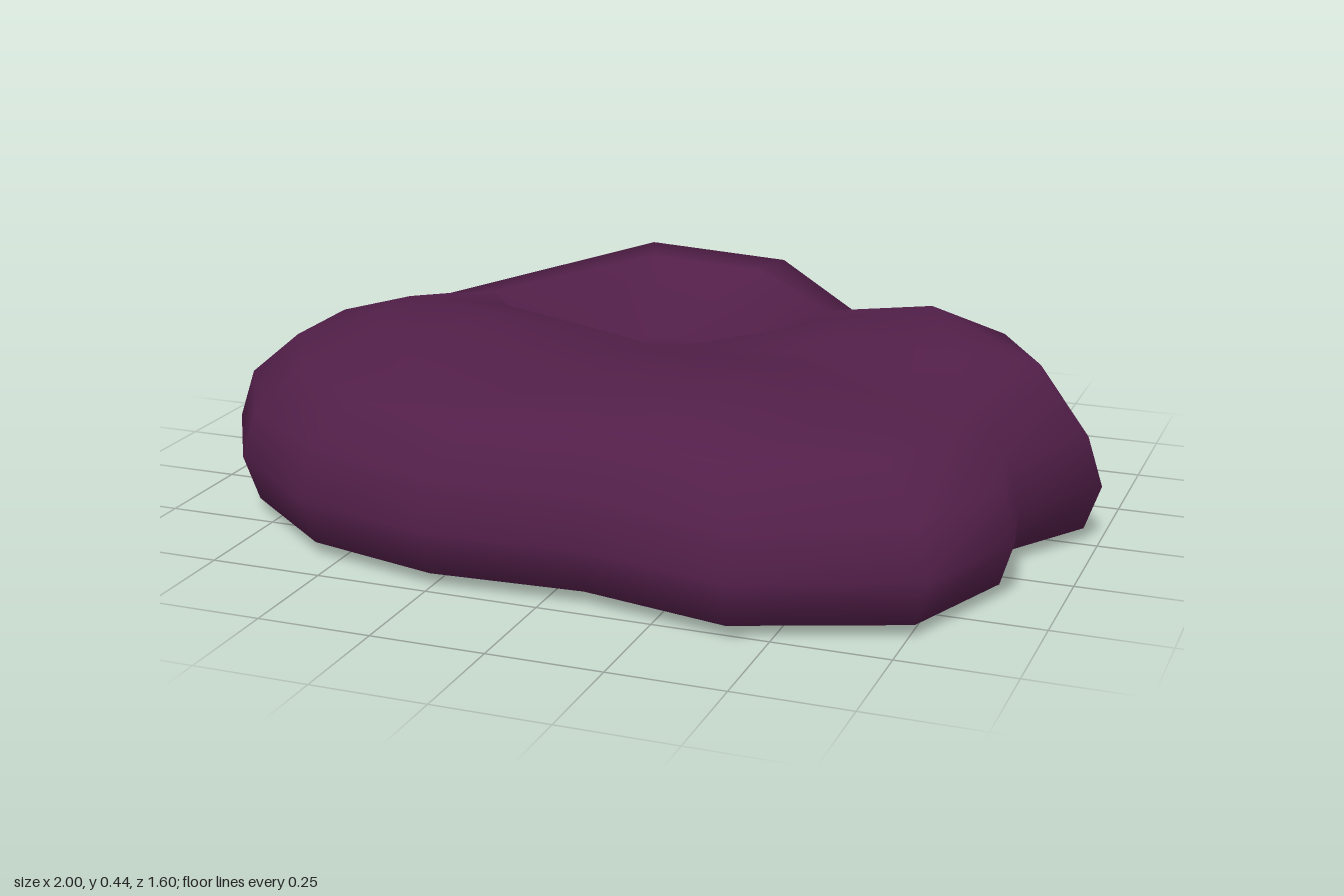
import * as THREE from 'three';

// Irregular outline as seen from above (x, z), starting at the back
const OUTLINE = [
  [-0.34, -0.8], [0.09, -0.73], [0.43, -0.44], [0.84, -0.31],
  [1.0, -0.02], [0.865, 0.19], [0.9, 0.38], [0.79, 0.66],
  [0.43, 0.8], [0.09, 0.73], [-0.26, 0.75], [-0.58, 0.67],
  [-0.84, 0.46], [-1.0, 0.19], [-1.0, -0.08], [-0.8, -0.35],
];

// Rings from underside to top: scale of the outline and height. The upper
// rings have one height per outline point: raised back edge and side lobe,
// a broad crown at the front and a hollow behind the middle.
const RINGS = [
  { scale: 0.85, y: 0 },
  { scale: 0.965, y: 0.03 },
  { scale: 1, y: 0.13 },
  { scale: 0.965, y: 0.24 },
  { scale: 0.855, y: [0.41, 0.41, 0.345, 0.38, 0.39, 0.335, 0.335, 0.335,
    0.335, 0.335, 0.335, 0.335, 0.335, 0.335, 0.335, 0.335] },
  { scale: 0.67, y: [0.415, 0.415, 0.385, 0.445, 0.4, 0.375, 0.36, 0.38,
    0.4, 0.38, 0.36, 0.38, 0.4, 0.4, 0.39, 0.37] },
  { scale: 0.42, y: [0.27, 0.28, 0.33, 0.41, 0.41, 0.395, 0.395, 0.41,
    0.415, 0.4, 0.395, 0.4, 0.415, 0.415, 0.4, 0.28] },
];
const MIDDLE_HEIGHT = 0.345;

function cushionGeometry() {
  const n = OUTLINE.length;
  const positions = [];
  const index = [];

  // Rings that follow the outline
  for (const { scale, y } of RINGS) {
    OUTLINE.forEach(([x, z], j) => {
      positions.push(x * scale, Array.isArray(y) ? y[j] : y, z * scale);
    });
  }
  const bottom = positions.length / 3;
  const top = bottom + 1;
  positions.push(0, 0, 0, 0, MIDDLE_HEIGHT, 0);

  // Skin between rings, closed by fans below and on top
  const last = (RINGS.length - 1) * n;
  for (let j = 0; j < n; j++) {
    const k = (j + 1) % n;
    for (let i = 0; i < RINGS.length - 1; i++) {
      const a = i * n + j, b = i * n + k, c = a + n, d = b + n;
      index.push(a, c, b, b, c, d);
    }
    index.push(bottom, j, k);
    index.push(top, last + k, last + j);
  }

  const geometry = new THREE.BufferGeometry();
  geometry.setAttribute('position', new THREE.Float32BufferAttribute(positions, 3));
  geometry.setIndex(index);
  geometry.computeVertexNormals();
  return geometry;
}

export function createModel() {
  const group = new THREE.Group();
  group.name = 'cushion';
  const material = new THREE.MeshStandardMaterial({ color: 0x521f49 });
  const body = new THREE.Mesh(cushionGeometry(), material);
  body.name = 'cushionBody';
  group.add(body);
  return group;
}
